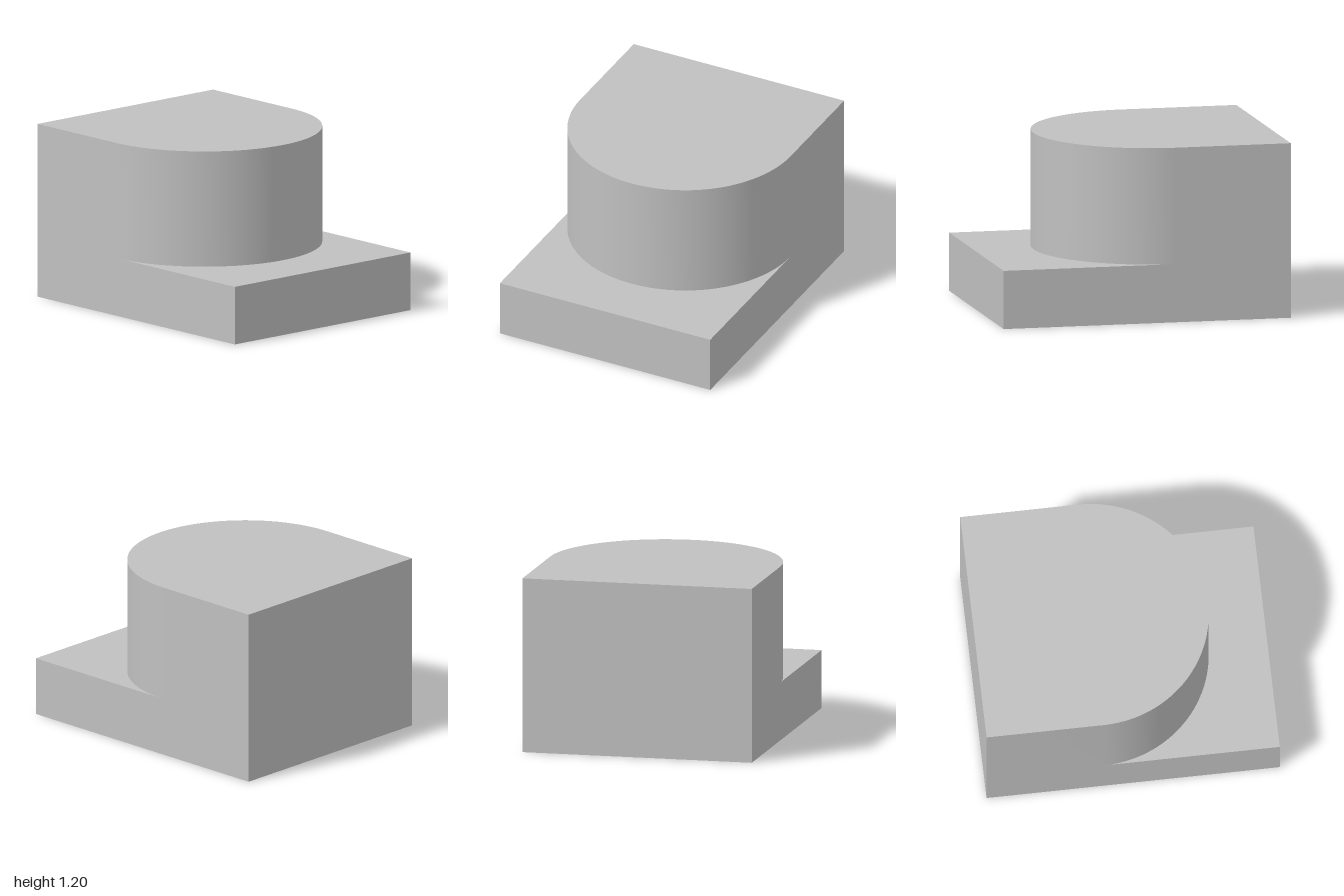
import * as THREE from 'three';
import { toCreasedNormals } from 'three/addons/utils/BufferGeometryUtils.js';

export function createModel() {
  const model = new THREE.Group();
  const grey = new THREE.MeshStandardMaterial({ color: 0xc0c0c0 });
  grey.name = 'light grey';

  const baseHeight = 0.4, topHeight = 1.2, halfDepth = 0.8, arcCentre = -0.2;

  // Rectangular slab
  const base = new THREE.Mesh(new THREE.BoxGeometry(2, baseHeight, halfDepth * 2), grey);
  base.name = 'baseSlab';
  base.position.y = baseHeight / 2;
  model.add(base);

  // Upper block: square at -x, ending in a half cylinder towards +x
  const outline = new THREE.Shape();
  outline.moveTo(-1, -halfDepth);
  outline.lineTo(arcCentre, -halfDepth);
  outline.absarc(arcCentre, 0, halfDepth, -Math.PI / 2, Math.PI / 2, false);
  outline.lineTo(-1, halfDepth);
  outline.closePath();
  const extruded = new THREE.ExtrudeGeometry(outline, {
    depth: topHeight - baseHeight, bevelEnabled: false, curveSegments: 48,
  });
  extruded.rotateX(-Math.PI / 2);
  const upper = new THREE.Mesh(toCreasedNormals(extruded, Math.PI / 6), grey);
  upper.name = 'roundedUpperBlock';
  upper.position.y = baseHeight;
  model.add(upper);

  return model;
}
